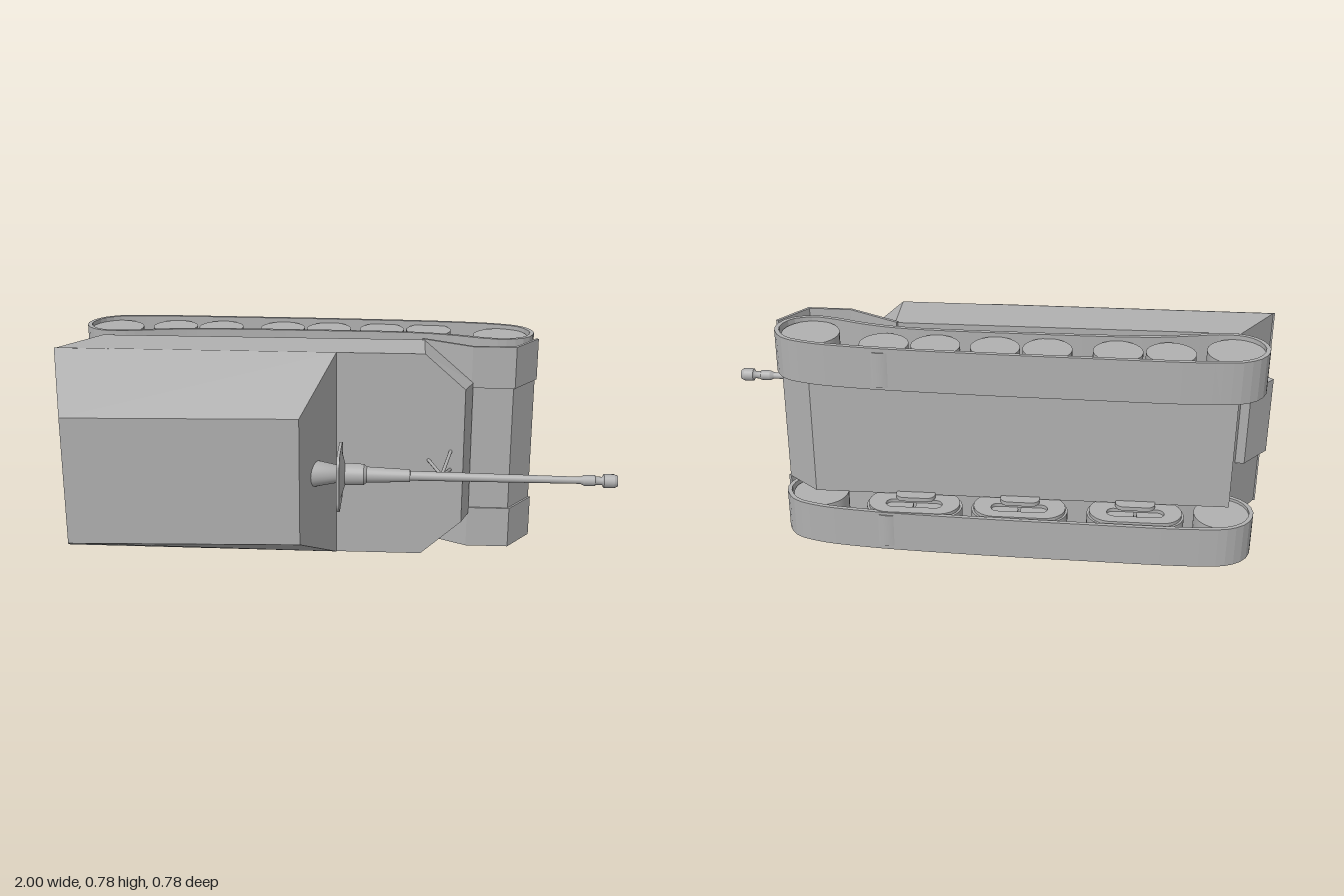
import * as THREE from 'three';
import { ConvexGeometry } from 'three/addons/geometries/ConvexGeometry.js';

const steel = new THREE.MeshStandardMaterial({ color: 0xb0b0b0 });
steel.name = 'grey steel';

const MID = 0.392; // the vehicle lies on its side: its up is +z, its width runs along y

function add(parent, name, geometry) {
  const mesh = new THREE.Mesh(geometry, steel);
  mesh.name = name;
  parent.add(mesh);
  return mesh;
}

const shapeOf = (pts) => new THREE.Shape(pts.map(([x, z]) => new THREE.Vector2(x, z)));

// Side profile in x and z, extruded across the width from y0 to y1
function slab(shape, y0, y1) {
  const g = new THREE.ExtrudeGeometry(shape, { depth: y1 - y0, bevelEnabled: false, curveSegments: 16 });
  return g.rotateX(Math.PI / 2).translate(0, y1, 0);
}

// Points [x, halfWidth, z] mirrored across the width, closed as a convex solid
function hullOf(pts) {
  return new ConvexGeometry(pts.flatMap(([x, y, z]) => [
    new THREE.Vector3(x, y, z), new THREE.Vector3(x, -y, z)]));
}

function strut(a, b, r) {
  const from = new THREE.Vector3(...a), to = new THREE.Vector3(...b);
  return new THREE.TubeGeometry(new THREE.LineCurve3(from, to), 1, r, 8);
}

function capsule(cx, cz, half, r) {
  const s = new THREE.Shape();
  s.absarc(cx + half, cz, r, -Math.PI / 2, Math.PI / 2);
  s.absarc(cx - half, cz, r, Math.PI / 2, Math.PI * 1.5);
  s.closePath();
  return s;
}

// Closed track belt: smooth outer loop with an inset inner loop
function trackShape() {
  const pts = [[-0.935, -0.26], [-0.91, -0.33], [-0.85, -0.373], [-0.74, -0.388], [-0.3, -0.386],
    [0.1, -0.377], [0.43, -0.36], [0.6, -0.337], [0.69, -0.3], [0.73, -0.22], [0.7, -0.14],
    [0.62, -0.108], [0.54, -0.12], [0.43, -0.155], [0.3, -0.18], [-0.1, -0.192], [-0.55, -0.186],
    [-0.68, -0.165], [-0.78, -0.146], [-0.865, -0.155], [-0.915, -0.195]];
  const curve = new THREE.CatmullRomCurve3(pts.map(([x, z]) => new THREE.Vector3(x, z, 0)), true);
  const outer = [], inner = [];
  for (let i = 0; i < 110; i++) {
    const p = curve.getPointAt(i / 110), t = curve.getTangentAt(i / 110);
    outer.push(new THREE.Vector2(p.x, p.y));
    inner.push(new THREE.Vector2(p.x - t.y * 0.015, p.y + t.x * 0.015));
  }
  const shape = new THREE.Shape(outer);
  shape.holes.push(new THREE.Path(inner));
  return shape;
}

function buildRunningGear(parent, side) {
  const gear = new THREE.Group();
  gear.name = side > 0 ? 'upperRunningGear' : 'lowerRunningGear';
  parent.add(gear);
  const span = (shape, a, b) => (side > 0 ? slab(shape, a, b) : slab(shape, -b, -a));
  const wheel = (name, x, z, r) => {
    const g = new THREE.CylinderGeometry(r, r, 0.125, 32);
    add(gear, name, g).position.set(x, side * 0.313, z);
  };

  add(gear, 'track', span(trackShape(), 0.24, 0.391));
  wheel('rearIdler', -0.826, -0.262, 0.099);
  wheel('driveSprocket', 0.607, -0.22, 0.099);
  for (const x of [-0.522, -0.115, 0.258]) {
    wheel('roadWheel', x - 0.087, -0.288, 0.083);
    wheel('roadWheel', x + 0.087, -0.288, 0.083);
    // Slotted bogie frame joining each pair of wheels
    const frame = capsule(x, -0.288, 0.087, 0.075);
    frame.holes.push(capsule(x, -0.3, 0.075, 0.025));
    add(gear, 'bogieFrame', span(frame, 0.238, 0.252));
    add(gear, 'bogieBracket', span(capsule(x, -0.255, 0.04, 0.03), 0.225, 0.24));
  }

  // Bent mudguard over the front of the track
  const guard = shapeOf([[0.32, -0.122], [0.5, -0.024], [0.655, -0.024], [0.742, -0.145],
    [0.733, -0.15], [0.649, -0.034], [0.503, -0.034], [0.325, -0.132]]);
  add(gear, 'mudguard', span(guard, 0.232, 0.385));
}

function buildGun(parent) {
  const gun = new THREE.Group();
  gun.name = 'gun';
  gun.position.set(0, -0.014, 0.219);
  gun.rotation.y = -0.014;
  parent.add(gun);

  // Stepped barrel, turned around the x axis
  const turned = (name, pts, sides) => {
    const g = new THREE.LatheGeometry(pts.map(([x, r]) => new THREE.Vector2(r, x)), sides);
    add(gun, name, g.rotateZ(-Math.PI / 2));
  };
  turned('gunMount', [[-0.09, 0], [-0.09, 0.052], [-0.06, 0.05], [-0.06, 0.05], [0.04, 0.03], [0.04, 0]], 24);
  turned('recoilSleeve', [[0.04, 0], [0.04, 0.04], [0.04, 0.04], [0.125, 0.037], [0.125, 0.037],
    [0.135, 0.028], [0.135, 0.028], [0.285, 0.022], [0.285, 0.022], [0.29, 0]], 24);
  turned('barrel', [[0.28, 0.017], [0.9, 0.012]], 20);
  turned('muzzleBrake', [[0.87, 0.012], [0.885, 0.019], [0.885, 0.019], [0.92, 0.019], [0.92, 0.019],
    [0.925, 0.014], [0.945, 0.014], [0.95, 0.024], [0.95, 0.024], [0.985, 0.024], [0.985, 0.024],
    [0.997, 0.019], [0.997, 0.019], [0.997, 0.009], [0.997, 0.009], [0.96, 0]], 16);

  // Rounded square shield, bowed back toward the edges
  const a = 0.104, r = 0.045, s = new THREE.Shape();
  s.absarc(a - r, a - r, r, 0, Math.PI / 2);
  s.absarc(r - a, a - r, r, Math.PI / 2, Math.PI);
  s.absarc(r - a, r - a, r, Math.PI, Math.PI * 1.5);
  s.absarc(a - r, r - a, r, Math.PI * 1.5, Math.PI * 2);
  s.closePath();
  const shield = new THREE.ExtrudeGeometry(s, { depth: 0.01, bevelEnabled: false, curveSegments: 6 });
  shield.rotateY(Math.PI / 2).translate(0.037, 0, 0.026);
  add(gun, 'gunShield', shield);
  const boss = new THREE.CylinderGeometry(0.036, 0.085, 0.014, 24);
  add(gun, 'shieldBoss', boss.rotateZ(-Math.PI / 2).translate(0.053, 0, 0.008));
}

export function createModel() {
  const model = new THREE.Group();
  model.name = 'armouredVehicle';
  const body = new THREE.Group();
  body.name = 'body';
  body.position.y = MID;
  model.add(body);

  // Lower hull with sloped nose
  add(body, 'lowerHull', slab(shapeOf([[-0.85, -0.11], [0.33, -0.1], [0.5, -0.03], [0.65, -0.03],
    [0.735, -0.148], [0.62, -0.243], [-0.85, -0.243]]), -0.234, 0.234));

  // Upper hull, narrowing at the front
  add(body, 'upperHull', hullOf([[-0.98, 0.381, 0.065], [-0.85, 0.381, -0.125], [0.33, 0.381, -0.125],
    [0.33, 0.381, 0.065], [0.505, 0.252, -0.022], [0.475, 0.252, 0.065]]));

  // Sloped casemate
  add(body, 'casemate', hullOf([[-0.984, 0.382, 0.062], [0.02, 0.382, 0.066],
    [-0.893, 0.229, 0.386], [-0.09, 0.229, 0.352]]));

  // Rear stowage box on the sloped tail plate
  add(body, 'rearBox', slab(shapeOf([[-0.998, 0.018], [-0.97, 0.045], [-0.85, -0.085], [-0.91, -0.085]]),
    -0.143, 0.147));

  for (const side of [-1, 1]) buildRunningGear(body, side);
  buildGun(body);

  // Travel lock holding the barrel
  const lock = new THREE.Group();
  lock.name = 'travelLock';
  body.add(lock);
  const top = [0.395, -0.014, 0.215];
  for (const foot of [[0.43, 0.022, 0.06], [0.43, -0.05, 0.06], [0.35, -0.014, 0.06]]) {
    add(lock, 'lockLeg', strut(foot, top, 0.006));
  }
  return model;
}
